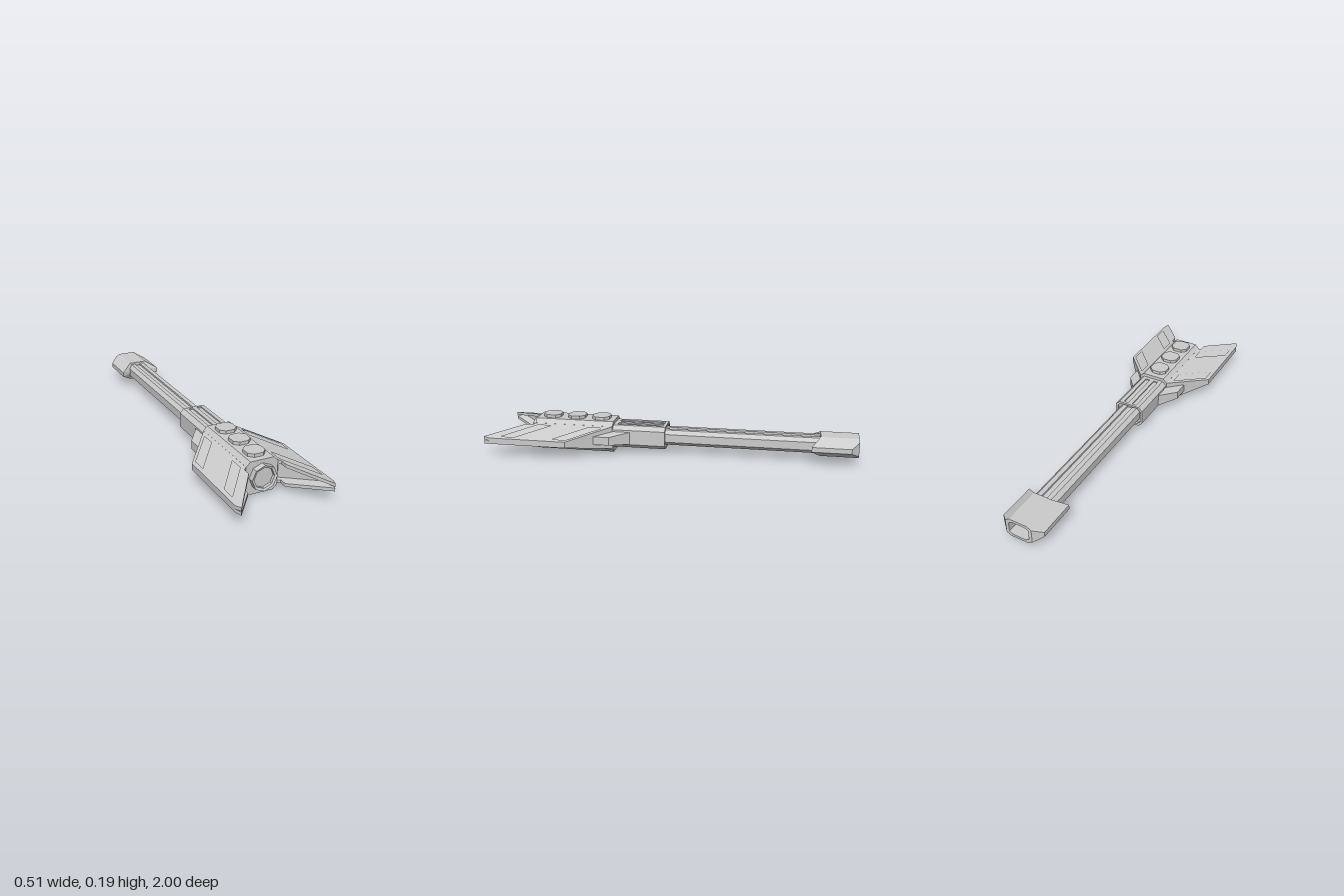
import * as THREE from 'three';

const AXIS = 0.09; // height of the long axis

const material = new THREE.MeshStandardMaterial({ color: 0xcccccc, flatShading: true });

function add(parent, name, geometry) {
  const mesh = new THREE.Mesh(geometry, material);
  mesh.name = name;
  parent.add(mesh);
  return mesh;
}

// Rectangle with cut corners, half sizes w and h, counter-clockwise
const chamfered = (w, h, c) => [
  [w, -h + c], [w, h - c], [w - c, h], [-w + c, h],
  [-w, h - c], [-w, -h + c], [-w + c, -h], [w - c, -h],
];

const toShape = (pts) => new THREE.Shape(pts.map(([x, y]) => new THREE.Vector2(x, y)));

// Cross-section with notches cut in its top and bottom; each notch is [x0, x1]
function notched(w, h, c, notches, depth) {
  const top = [];
  for (const [x0, x1] of notches) top.push([x1, h], [x1, h - depth], [x0, h - depth], [x0, h]);
  const half = [[w, -h + c], [w, h - c], [w - c, h], ...top, [-w + c, h]];
  const bottom = top.map(([x, y]) => [-x, -y]);
  return [...half, [-w, h - c], [-w, -h + c], [-w + c, -h], ...bottom, [w - c, -h]];
}

// Straight bar along z
function bar(pts, z0, z1, hole) {
  const shape = toShape(pts);
  if (hole) shape.holes.push(toShape(hole));
  return new THREE.ExtrudeGeometry(shape, { depth: z1 - z0, bevelEnabled: false }).translate(0, 0, z0);
}

// Slab with plan outline [x, z], whose lower and upper heights are functions of x
function slab(plan, low, high, holes = []) {
  const flip = (pts) => toShape(pts.map(([x, z]) => [x, -z]));
  const shape = flip(plan);
  holes.forEach((h) => shape.holes.push(flip(h)));
  const g = new THREE.ExtrudeGeometry(shape, { depth: 1, bevelEnabled: false }).rotateX(-Math.PI / 2);
  const p = g.attributes.position;
  for (let i = 0; i < p.count; i++) {
    const x = p.getX(i);
    p.setY(i, p.getY(i) > 0.5 ? high(x) : low(x));
  }
  g.computeVertexNormals();
  return g;
}

// Skin through rings of [x, y, z] points, closed at both ends
function loft(rings) {
  const out = [];
  const n = rings[0].length;
  const cap = (ring, z, front) => {
    for (let j = 0; j < n; j++) {
      const a = ring[j], b = ring[(j + 1) % n];
      out.push(0, 0, z, ...(front ? a : b), ...(front ? b : a));
    }
  };
  cap(rings[0], rings[0][0][2], false);
  for (let i = 0; i + 1 < rings.length; i++) {
    for (let j = 0; j < n; j++) {
      const k = (j + 1) % n;
      const a = rings[i][j], b = rings[i][k], c = rings[i + 1][k], d = rings[i + 1][j];
      out.push(...a, ...b, ...c, ...a, ...c, ...d);
    }
  }
  const last = rings[rings.length - 1];
  cap(last, Math.min(...last.map((p) => p[2])), true);
  const g = new THREE.BufferGeometry();
  g.setAttribute('position', new THREE.Float32BufferAttribute(out, 3));
  g.computeVertexNormals();
  return g;
}

// Hollow muzzle with swept side cheeks
function muzzle() {
  const ring = (side, sideY, topX, topY, zTop, zSide) => [
    [side, -sideY, zSide], [side, sideY, zSide], [topX, topY, zTop], [-topX, topY, zTop],
    [-side, sideY, zSide], [-side, -sideY, zSide], [-topX, -topY, zTop], [topX, -topY, zTop],
  ];
  return loft([
    ring(0.055, 0.026, 0.036, 0.038, -0.94, -0.94),
    ring(0.055, 0.026, 0.036, 0.038, -1, -1),
    ring(0.072, 0.038, 0.05, 0.053, -1, -1),
    ring(0.115, 0.013, 0.05, 0.053, -0.96, -0.96),
    ring(0.115, 0.013, 0.05, 0.053, -0.8, -0.755),
  ]);
}

// Tapered wing: panelled skins over a core, leaving the trailing edge open
function wing() {
  const g = new THREE.Group();
  g.name = 'wing';
  const half = (x) => 0.0625 - (x - 0.085) * (0.046 / 0.17);
  const at = (t) => (x) => Math.max(half(x) - t, 0);
  const neg = (f) => (x) => -f(x);
  const plan = [[0.083, 0.32], [0.255, 0.54], [0.255, 0.965], [0.242, 1], [0.1, 0.81], [0.1, 0.77], [0.083, 0.755]];
  const corePlan = [[0.083, 0.32], [0.255, 0.54], [0.255, 0.93], [0.242, 0.93], [0.1, 0.74], [0.083, 0.74]];
  const panel = (z) => [[0.105, z], [0.235, z + 0.165], [0.235, z + 0.24], [0.105, z + 0.075]];
  const panels = [panel(0.375), panel(0.665)];
  add(g, 'wingCore', slab(corePlan, neg(at(0.016)), at(0.016)));
  add(g, 'upperSkin', slab(plan, at(0.007), at(0), panels));
  add(g, 'upperPlate', slab(plan, at(0.017), at(0.007)));
  add(g, 'lowerSkin', slab(plan, neg(at(0)), neg(at(0.007)), panels));
  add(g, 'lowerPlate', slab(plan, neg(at(0.007)), neg(at(0.017))));
  // Small fin ahead of the wing
  const finHalf = (x) => 0.036 - (x - 0.07) * 0.16;
  add(g, 'frontFin', slab([[0.07, 0.21], [0.155, 0.325], [0.155, 0.43], [0.07, 0.43]], neg(finHalf), finHalf));
  return g;
}

export function createModel() {
  const model = new THREE.Group();
  model.name = 'cannon';

  // Rear housing
  add(model, 'housing', bar(chamfered(0.085, 0.0865, 0.022), 0.32, 0.76)).position.y = 0.0865;

  // Eight-sided rear port with a sunken face
  const port = [[0.068, 0.74], [0.068, 0.79], [0.055, 0.785], [0.055, 0.77], [0, 0.77]];
  const portGeo = new THREE.LatheGeometry(port.map(([r, z]) => new THREE.Vector2(r, z)), 8).rotateX(Math.PI / 2);
  add(model, 'rearPort', portGeo).position.y = 0.0875;

  // Raised studs on the top
  for (const z of [0.4, 0.54, 0.68]) {
    const stud = bar(chamfered(0.048, 0.048, 0.024), 0, 0.02).rotateX(-Math.PI / 2);
    add(model, 'topStud', stud).position.set(0, 0.17, z);
  }

  // Sleeve with paired slots and an open front lip
  const sleeve = new THREE.Group();
  sleeve.name = 'sleeve';
  sleeve.position.y = 0.0925;
  const outer = chamfered(0.082, 0.0625, 0.022);
  add(sleeve, 'sleeveLip', bar(outer, 0.03, 0.045, chamfered(0.071, 0.0515, 0.019)));
  const slots = [[0.012, 0.038], [-0.038, -0.012]];
  add(sleeve, 'slottedSleeve', bar(notched(0.082, 0.0625, 0.022, slots, 0.007), 0.045, 0.3));
  add(sleeve, 'sleeveBase', bar(outer, 0.3, 0.33));
  model.add(sleeve);

  // Long barrel with a groove above and below
  const barrel = notched(0.06, 0.042, 0.02, [[-0.015, 0.015]], 0.01);
  add(model, 'barrel', bar(barrel, -0.82, 0.06)).position.y = 0.0925;
  add(model, 'muzzle', muzzle()).position.y = 0.0925;

  // Wings: the second is the first turned half round the long axis
  for (const turn of [0, Math.PI]) {
    const w = wing();
    w.name = turn ? 'rightWing' : 'leftWing';
    w.position.y = AXIS - 0.002;
    w.rotation.z = turn;
    model.add(w);
  }
  return model;
}
